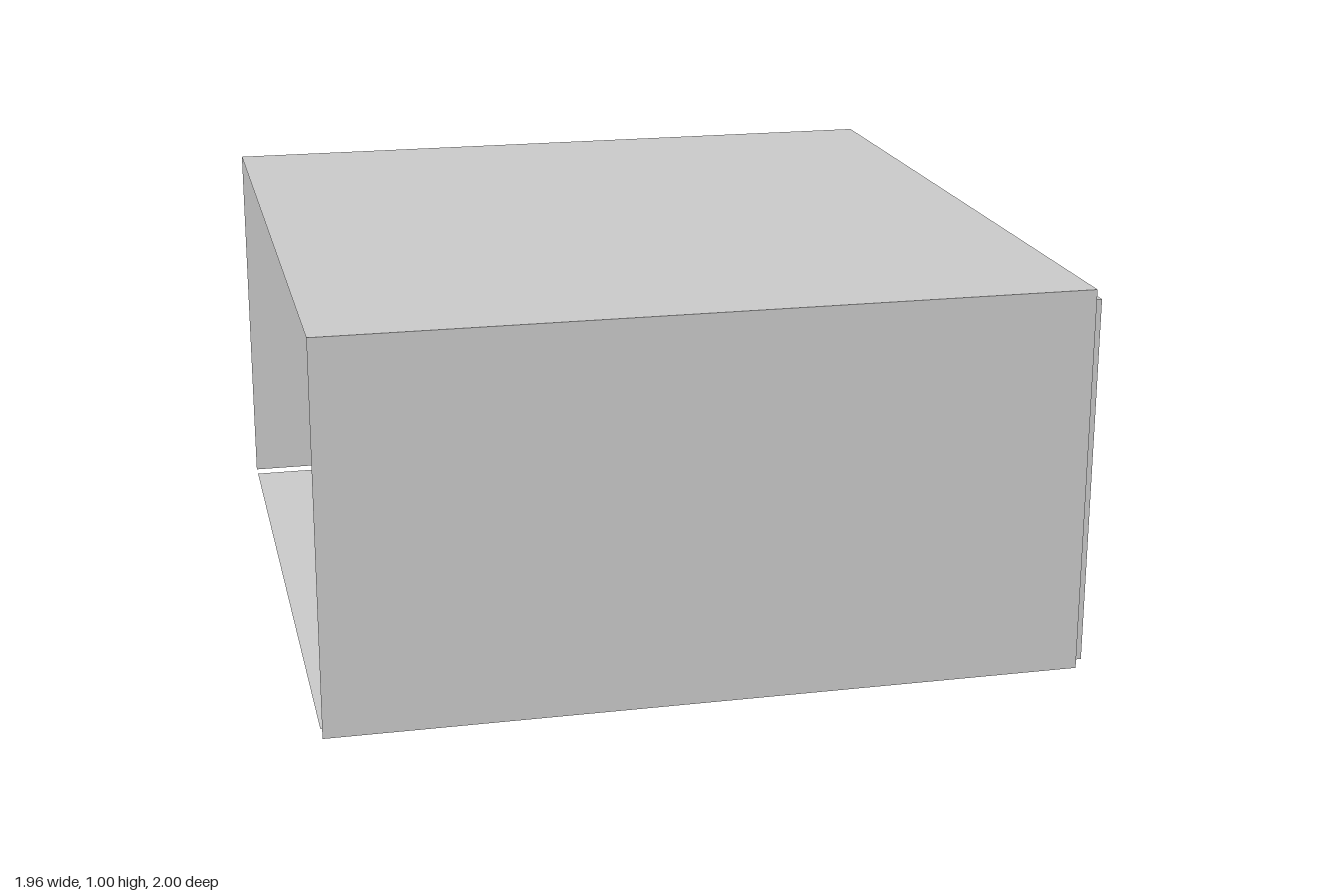
import * as THREE from 'three';

const mat = new THREE.MeshStandardMaterial({ color: 0xcccccc, side: THREE.DoubleSide });
const flat = new THREE.MeshStandardMaterial({ color: 0xcccccc, side: THREE.DoubleSide, flatShading: true });

const BACK = -0.98, END = 0.94, FACE = 0.975;   // open end, end wall, face of the door frame
const MID = (BACK + END) / 2, LEN = END - BACK;

// Upside-down U: a wall with a doorway, drawn in (z, y)
function arch(halfW, top, holeHalfW, holeTop) {
  return new THREE.Shape([
    [-halfW, 0], [-halfW, top], [halfW, top], [halfW, 0],
    [holeHalfW, 0], [holeHalfW, holeTop], [-holeHalfW, holeTop], [-holeHalfW, 0],
  ].map(([z, y]) => new THREE.Vector2(z, y)));
}

export function createModel() {
  const group = new THREE.Group();
  const add = (name, geometry, material = mat) => {
    const mesh = new THREE.Mesh(geometry, material);
    mesh.name = name;
    group.add(mesh);
    return mesh;
  };

  // Thin shell: two long walls and roof, open at the -x end
  for (const s of [1, -1]) {
    const wall = new THREE.PlaneGeometry(LEN, 1);
    if (s < 0) wall.rotateY(Math.PI);
    add(s > 0 ? 'frontWall' : 'backWall', wall.translate(MID, 0.5, s));
  }
  add('roof', new THREE.PlaneGeometry(LEN, 2).rotateX(-Math.PI / 2).translate(MID, 1, 0));

  // Floor, slightly narrower than the shell
  add('floor', new THREE.PlaneGeometry(0.96 - BACK, 1.9)
    .rotateX(-Math.PI / 2).translate((0.96 + BACK) / 2, 0.003, 0));

  // End wall with its doorway
  add('endWall', new THREE.ShapeGeometry(arch(1, 1, 0.86, 0.79))
    .rotateY(Math.PI / 2).translate(END, 0, 0));

  // Raised frame around the doorway
  const depth = 0.065;
  add('doorFrame', new THREE.ExtrudeGeometry(arch(0.95, 0.96, 0.86, 0.79), { depth, bevelEnabled: false })
    .rotateY(Math.PI / 2).translate(FACE - depth, 0, 0));

  // Dented door: straight at the top, buckled in the lower rows
  const heights = [0.79, 0.36, 0.28, 0.21, 0.15, 0.01];
  const dents = [
    [0, 0, 0, 0, 0, 0, 0, 0, 0],
    [0, -0.03, -0.02, 0, -0.03, -0.02, 0, -0.01, 0],
    [0.005, -0.015, -0.02, -0.03, -0.02, -0.02, -0.03, -0.015, 0],
    [0.01, 0, -0.01, -0.04, -0.01, -0.01, -0.045, -0.02, 0],
    [-0.01, -0.01, -0.02, -0.03, -0.03, -0.025, -0.03, -0.01, 0.01],
    [-0.03, -0.04, -0.01, -0.01, -0.05, -0.03, 0, 0.01, 0.01],
  ];
  const door = new THREE.PlaneGeometry(1.72, 1, 8, 5).rotateY(Math.PI / 2);
  const pos = door.attributes.position;
  for (let i = 0; i < pos.count; i++) {
    const row = Math.floor(i / 9);
    pos.setX(i, 0.91 + dents[row][i % 9]);
    pos.setY(i, heights[row]);
  }
  door.computeVertexNormals();
  add('dentedDoor', door, flat);

  return group;
}
